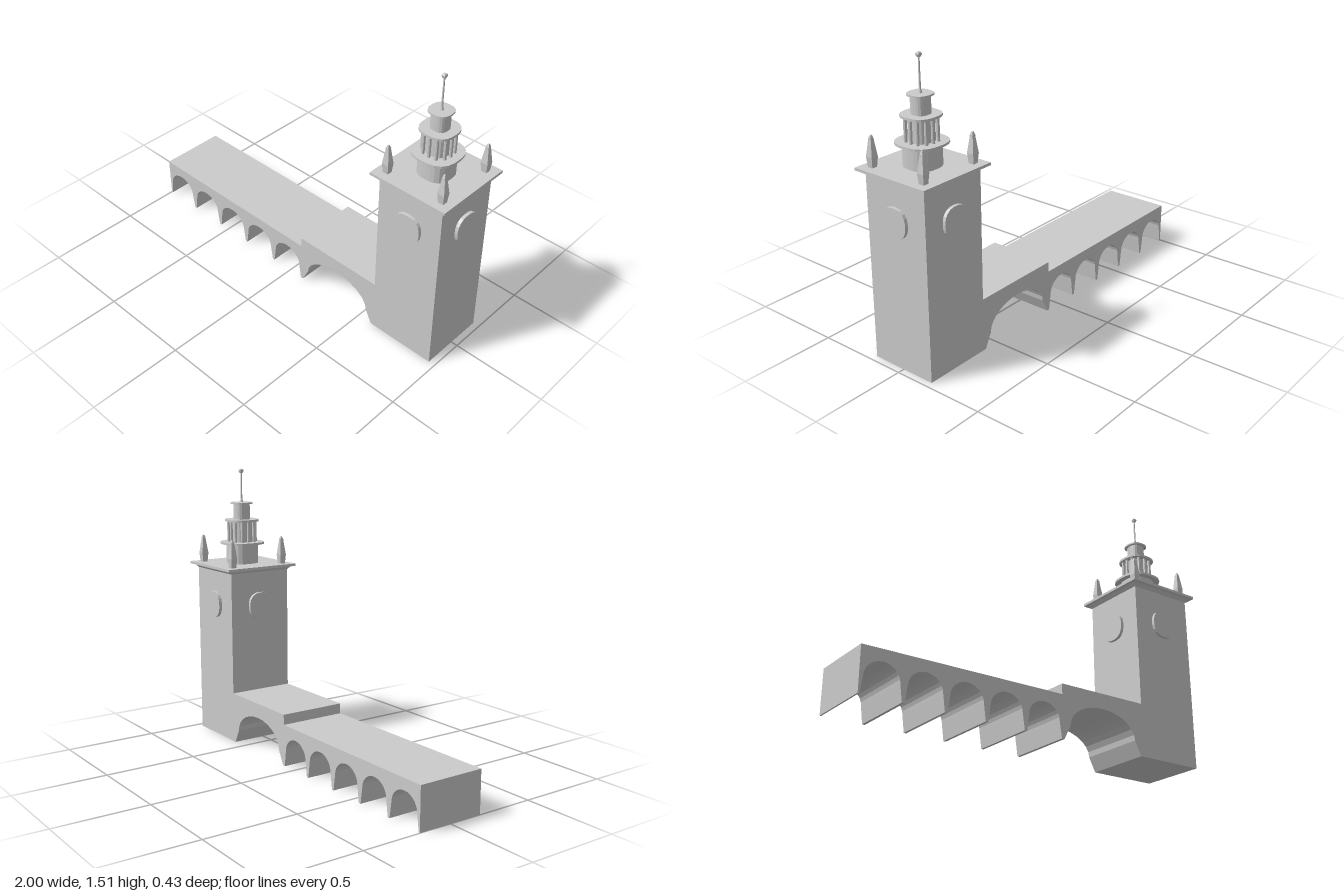
import * as THREE from 'three';

const material = new THREE.MeshStandardMaterial({ color: 0xcccccc, flatShading: true });
const TOWER_X = 0.782, HALF = 0.183;

function add(parent, name, geometry, x = 0, y = 0, z = 0) {
  const mesh = new THREE.Mesh(geometry, material);
  mesh.name = name;
  mesh.position.set(x, y, z);
  parent.add(mesh);
  return mesh;
}

// Rounded-square outline, between a circle and a square
function squircle(r, n = 24, power = 2.7) {
  const points = [];
  for (let i = 0; i < n; i++) {
    const a = (i / n) * Math.PI * 2, c = Math.cos(a), s = Math.sin(a);
    const k = r / Math.pow(Math.abs(c) ** power + Math.abs(s) ** power, 1 / power);
    points.push(new THREE.Vector2(c * k, s * k));
  }
  return new THREE.Shape(points);
}

const slab = (shape, depth) => new THREE.ExtrudeGeometry(shape, { depth, bevelEnabled: false, curveSegments: 8 });

// Upright squircle drum from y0 to y1
function tier(parent, name, r, y0, y1) {
  add(parent, name, slab(squircle(r), y1 - y0).rotateX(-Math.PI / 2), TOWER_X, y0, 0);
}

// Square-section solid turned from a [half width, height] profile
function squareLathe(profile) {
  const points = profile.map(([h, y]) => new THREE.Vector2(h * Math.SQRT2, y));
  return new THREE.LatheGeometry(points, 4, Math.PI / 4).toNonIndexed();
}

// Arch outline: slanting legs up to the springing line, then a half ellipse
function cutArch(shape, cx, footHalf, springHalf, springY, topY) {
  shape.lineTo(cx + footHalf, 0);
  for (let i = 0; i <= 14; i++) {
    const a = (i / 14) * Math.PI;
    shape.lineTo(cx + springHalf * Math.cos(a), springY + (topY - springY) * Math.sin(a));
  }
  shape.lineTo(cx - footHalf, 0);
}

export function createModel() {
  const model = new THREE.Group();
  model.name = 'clockTowerWithArcade';

  // Arcade: five small arches and one large arch beside the tower
  const outline = new THREE.Shape();
  outline.moveTo(-1, 0);
  outline.lineTo(-1, 0.225);
  outline.lineTo(0.088, 0.225);
  outline.lineTo(0.088, 0.28);
  outline.lineTo(0.6, 0.28);
  outline.lineTo(0.6, 0);
  cutArch(outline, 0.341, 0.243, 0.205, 0.075, 0.2);
  for (let i = 4; i >= 0; i--) cutArch(outline, -0.89 + i * 0.2175, 0.102, 0.09, 0.085, 0.166);
  outline.closePath();
  add(model, 'arcade', slab(outline, HALF * 2), 0, 0, -HALF);

  // Tower shaft and flared cornice
  const tower = new THREE.Group();
  tower.name = 'tower';
  model.add(tower);
  add(tower, 'shaft', new THREE.BoxGeometry(HALF * 2, 0.96, HALF * 2), TOWER_X, 0.48, 0);
  add(tower, 'cornice', squareLathe([[0, 0.953], [0.184, 0.953], [0.2, 0.971], [0.217, 0.971], [0.217, 0.985], [0, 0.985]]), TOWER_X);

  // Clock discs on all four faces
  for (let i = 0; i < 4; i++) {
    const pivot = new THREE.Group();
    pivot.name = 'clock';
    pivot.position.set(TOWER_X, 0.765, 0);
    pivot.rotation.y = i * Math.PI / 2;
    tower.add(pivot);
    add(pivot, 'clockDisc', slab(squircle(0.074, 24, 2.5), 0.027), 0, 0, HALF - 0.01);
  }

  // Corner finials
  const finial = squareLathe([[0, 0.98], [0.014, 0.98], [0.019, 1.035], [0.009, 1.115], [0.009, 1.122], [0.004, 1.137], [0, 1.14]]);
  for (const sx of [-1, 1]) for (const sz of [-1, 1])
    add(tower, 'cornerFinial', finial, TOWER_X + sx * 0.16, 0, sz * 0.16);

  // Stepped lantern
  tier(tower, 'lanternBase', 0.084, 0.98, 1.095);
  tier(tower, 'lowerLedge', 0.115, 1.093, 1.105);
  tier(tower, 'lanternCore', 0.057, 1.105, 1.222);
  tier(tower, 'middleLedge', 0.088, 1.22, 1.232);
  tier(tower, 'upperDrum', 0.043, 1.232, 1.32);
  tier(tower, 'topLedge', 0.057, 1.318, 1.327);

  // Ring of columns around the lantern core
  const column = new THREE.CylinderGeometry(0.0085, 0.0085, 0.118, 8);
  for (const p of squircle(0.07, 12).getPoints().slice(0, 12))
    add(tower, 'lanternColumn', column, TOWER_X + p.x, 1.163, p.y);

  // Spire pole and its tip
  const pole = [[0, 1.325], [0.011, 1.325], [0.008, 1.335], [0.005, 1.345], [0.004, 1.495], [0, 1.495]];
  add(tower, 'spirePole', new THREE.LatheGeometry(pole.map(([r, y]) => new THREE.Vector2(r, y)), 8), TOWER_X);
  add(tower, 'spireTip', squareLathe([[0, 1.49], [0.006, 1.49], [0.01, 1.5], [0.01, 1.507], [0.006, 1.513], [0, 1.513]]), TOWER_X);

  return model;
}
